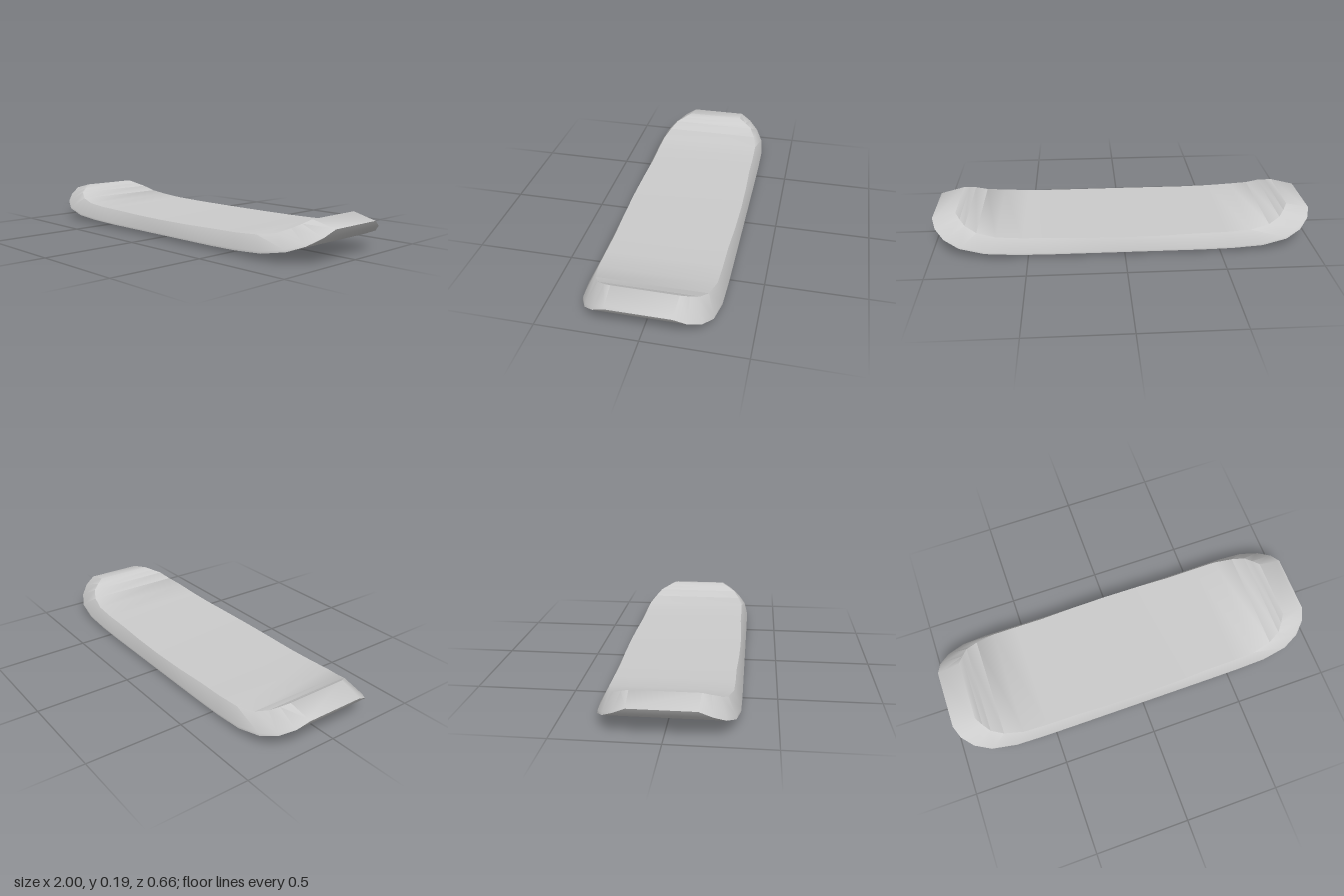
import * as THREE from 'three';
import { toCreasedNormals } from 'three/addons/utils/BufferGeometryUtils.js';

const material = new THREE.MeshStandardMaterial({ color: 0xcccccc });

// Half of the deck, centre to tip: lower edge [x, y, half width], upper edge [x, y, half width]
const stations = [
  [[0, 0.02, 0.33], [0, 0.093, 0.305]],
  [[0.2, 0.02, 0.33], [0.2, 0.094, 0.302]],
  [[0.4, 0.02, 0.33], [0.38, 0.097, 0.295]],
  [[0.56, 0.023, 0.33], [0.53, 0.1, 0.295]],
  [[0.72, 0.033, 0.328], [0.66, 0.108, 0.292]],
  [[0.85, 0.058, 0.31], [0.76, 0.125, 0.27]],
  [[0.93, 0.09, 0.27], [0.82, 0.152, 0.24]],
  [[0.98, 0.127, 0.215], [0.85, 0.171, 0.2]],
  [[1, 0.16, 0.155], [0.875, 0.19, 0.16]],
];

// Six-point cross-section, with a thin upright lip at the lower edge
function ring([[bx, by, bw], [tx, ty, tw]], sign) {
  const lx = bx + (tx - bx) * 0.13;
  const ly = by + (ty - by) * 0.13;
  return [
    [bx, by, -bw], [lx, ly, -bw], [tx, ty, -tw],
    [tx, ty, tw], [lx, ly, bw], [bx, by, bw],
  ].map(([x, y, z]) => [x * sign, y, z]);
}

function deckGeometry() {
  const rings = [
    ...stations.slice(1).reverse().map((s) => ring(s, -1)),
    ...stations.map((s) => ring(s, 1)),
  ];
  const positions = rings.flat(2);
  const index = [];
  const n = 6;
  const last = (rings.length - 1) * n;
  for (let i = 0; i < rings.length - 1; i++) {
    for (let k = 0; k < n; k++) {
      const a = i * n + k;
      const b = i * n + ((k + 1) % n);
      index.push(a, b, b + n, a, b + n, a + n);
    }
  }
  // Sloping end faces
  for (const [a, b, c] of [[0, 1, 4], [0, 4, 5], [1, 2, 3], [1, 3, 4]]) {
    index.push(last + a, last + b, last + c, c, b, a);
  }
  const geometry = new THREE.BufferGeometry();
  geometry.setAttribute('position', new THREE.Float32BufferAttribute(positions, 3));
  geometry.setIndex(index);
  return toCreasedNormals(geometry, 0.95);
}

// Bar whose underside is narrower than its top
function ribGeometry() {
  const geometry = new THREE.BoxGeometry(0.145, 0.024, 0.486);
  const p = geometry.attributes.position;
  for (let i = 0; i < p.count; i++) {
    if (p.getY(i) < 0) {
      p.setX(i, p.getX(i) * 0.7);
      p.setZ(i, p.getZ(i) * 0.93);
    }
  }
  geometry.translate(0, 0.012, 0);
  return toCreasedNormals(geometry, 0.4);
}

export function createModel() {
  const model = new THREE.Group();
  model.name = 'board';

  const deck = new THREE.Mesh(deckGeometry(), material);
  deck.name = 'deck';
  model.add(deck);

  // Five cross ribs under the deck
  const ribs = new THREE.Group();
  ribs.name = 'ribs';
  const rib = ribGeometry();
  for (let i = -2; i <= 2; i++) {
    const mesh = new THREE.Mesh(rib, material);
    mesh.name = `rib${i + 3}`;
    mesh.position.x = i * 0.27;
    ribs.add(mesh);
  }
  model.add(ribs);
  return model;
}
